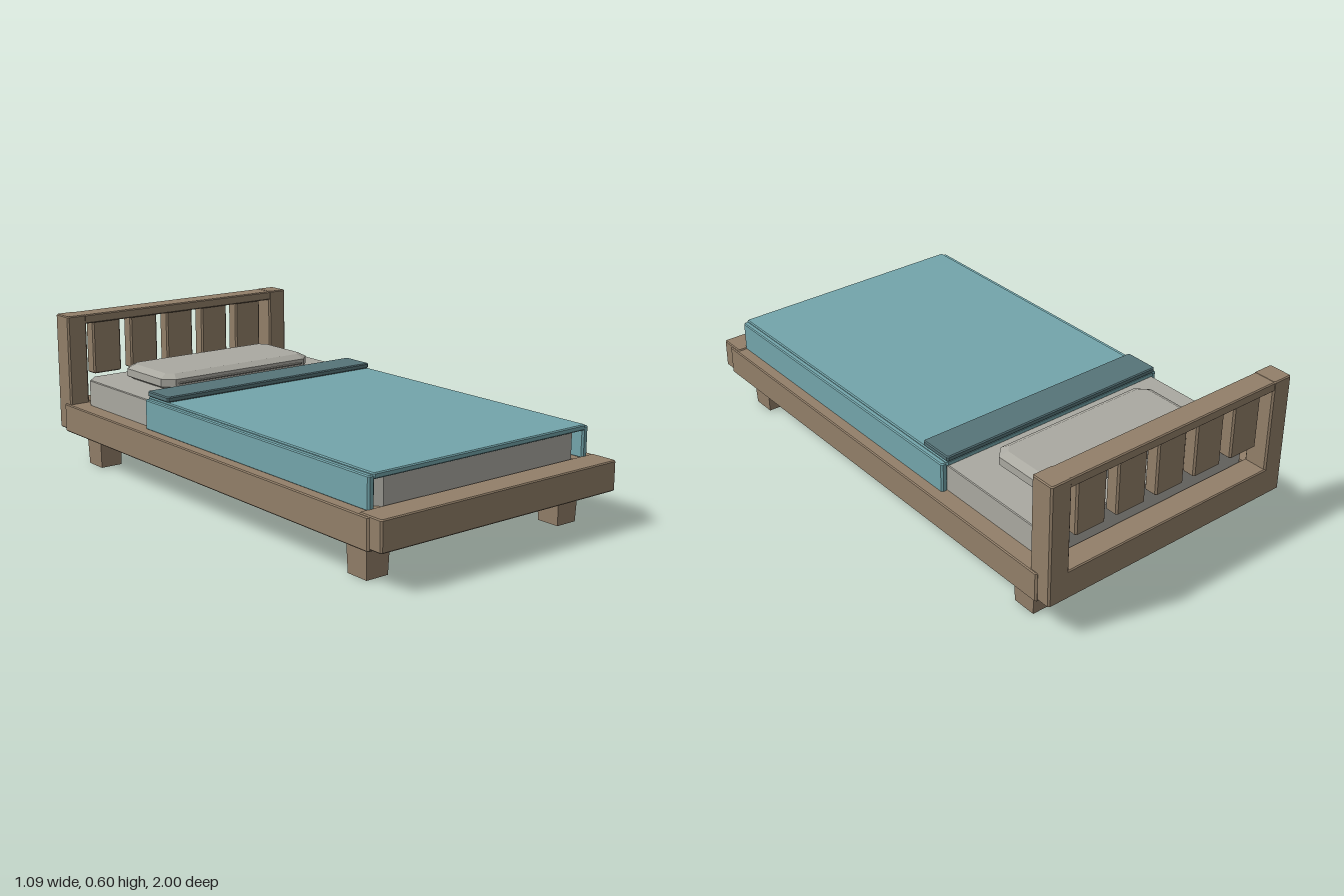
import * as THREE from 'three';

const wood = new THREE.MeshStandardMaterial({ name: 'wood', color: 0x927f69 });
const linen = new THREE.MeshStandardMaterial({ name: 'linen', color: 0xaaa9a1 });
const blanketTeal = new THREE.MeshStandardMaterial({ name: 'blanketTeal', color: 0x73a5ab });
const foldTeal = new THREE.MeshStandardMaterial({ name: 'foldTeal', color: 0x567479 });

// Block between two corners: c cuts the upright corners, b and t bevel the top and bottom rims
function block(name, material, [x0, x1], [y0, y1], [z0, z1], c = 0.004, b = 0.004, t = b) {
  const w = (x1 - x0) / 2 - b, d = (z1 - z0) / 2 - b;
  const outline = new THREE.Shape([
    [-w + c, -d], [w - c, -d], [w, -d + c], [w, d - c],
    [w - c, d], [-w + c, d], [-w, d - c], [-w, -d + c],
  ].map(([x, y]) => new THREE.Vector2(x, y)));
  const geometry = new THREE.ExtrudeGeometry(outline, {
    depth: y1 - y0 - 2 * t, bevelEnabled: true, bevelSegments: 1, bevelSize: b, bevelThickness: t,
  });
  geometry.rotateX(-Math.PI / 2);
  geometry.translate((x0 + x1) / 2, y0 + t, (z0 + z1) / 2);
  const mesh = new THREE.Mesh(geometry, material);
  mesh.name = name;
  return mesh;
}

// Square leg narrowing towards the floor
function leg(x, z) {
  const geometry = new THREE.BoxGeometry(0.106, 0.22, 0.11);
  const p = geometry.attributes.position;
  for (let i = 0; i < p.count; i++) {
    if (p.getY(i) < 0) p.setXYZ(i, p.getX(i) * 0.85, p.getY(i), p.getZ(i) * 0.85);
  }
  geometry.computeVertexNormals();
  geometry.translate(x, 0.11, z);
  const mesh = new THREE.Mesh(geometry, wood);
  mesh.name = 'leg';
  return mesh;
}

export function createModel() {
  const bed = new THREE.Group();
  bed.name = 'bed';

  // Frame rails and legs
  const frame = new THREE.Group();
  frame.name = 'frame';
  frame.add(
    block('footRail', wood, [-0.54, 0.54], [0.135, 0.246], [0.89, 1]),
    block('headRail', wood, [-0.54, 0.54], [0.135, 0.246], [-1, -0.905]),
  );
  for (const s of [-1, 1]) {
    const span = (a, b) => (s > 0 ? [a, b] : [-b, -a]);
    frame.add(block('sideRail', wood, span(0.44, 0.547), [0.128, 0.242], [-0.945, 0.945]));
    for (const z of [-0.818, 0.822]) frame.add(leg(s * 0.441, z));
  }

  // Headboard: posts, top rail and five slats
  const headboard = new THREE.Group();
  headboard.name = 'headboard';
  for (const s of [-1, 1]) {
    headboard.add(block('post', wood, s > 0 ? [0.455, 0.54] : [-0.54, -0.455], [0.135, 0.6], [-1, -0.905]));
  }
  headboard.add(block('topRail', wood, [-0.47, 0.47], [0.563, 0.599], [-0.998, -0.907]));
  for (let i = -2; i <= 2; i++) {
    const x = i * 0.176;
    headboard.add(block('slat', wood, [x - 0.064, x + 0.064], [0.35, 0.575], [-0.98, -0.925]));
  }

  // Bedding
  const bedding = new THREE.Group();
  bedding.name = 'bedding';
  bedding.add(
    block('mattress', linen, [-0.48, 0.48], [0.22, 0.345], [-0.9, 0.885], 0.045, 0.003),
    block('pillow', linen, [-0.355, 0.355], [0.343, 0.407], [-0.812, -0.48], 0.025, 0.03, 0.017),
    block('pillowSeam', linen, [-0.3, 0.3], [0.371, 0.377], [-0.484, -0.472], 0.001, 0.001),
    block('blanketTop', blanketTeal, [-0.487, 0.487], [0.342, 0.363], [-0.405, 0.9]),
    block('blanketFold', foldTeal, [-0.487, 0.487], [0.363, 0.384], [-0.41, -0.27]),
  );
  for (const s of [-1, 1]) {
    bedding.add(block('blanketSide', blanketTeal, s > 0 ? [0.478, 0.505] : [-0.505, -0.478], [0.24, 0.356], [-0.4, 0.897]));
  }

  bed.add(frame, headboard, bedding);
  return bed;
}
